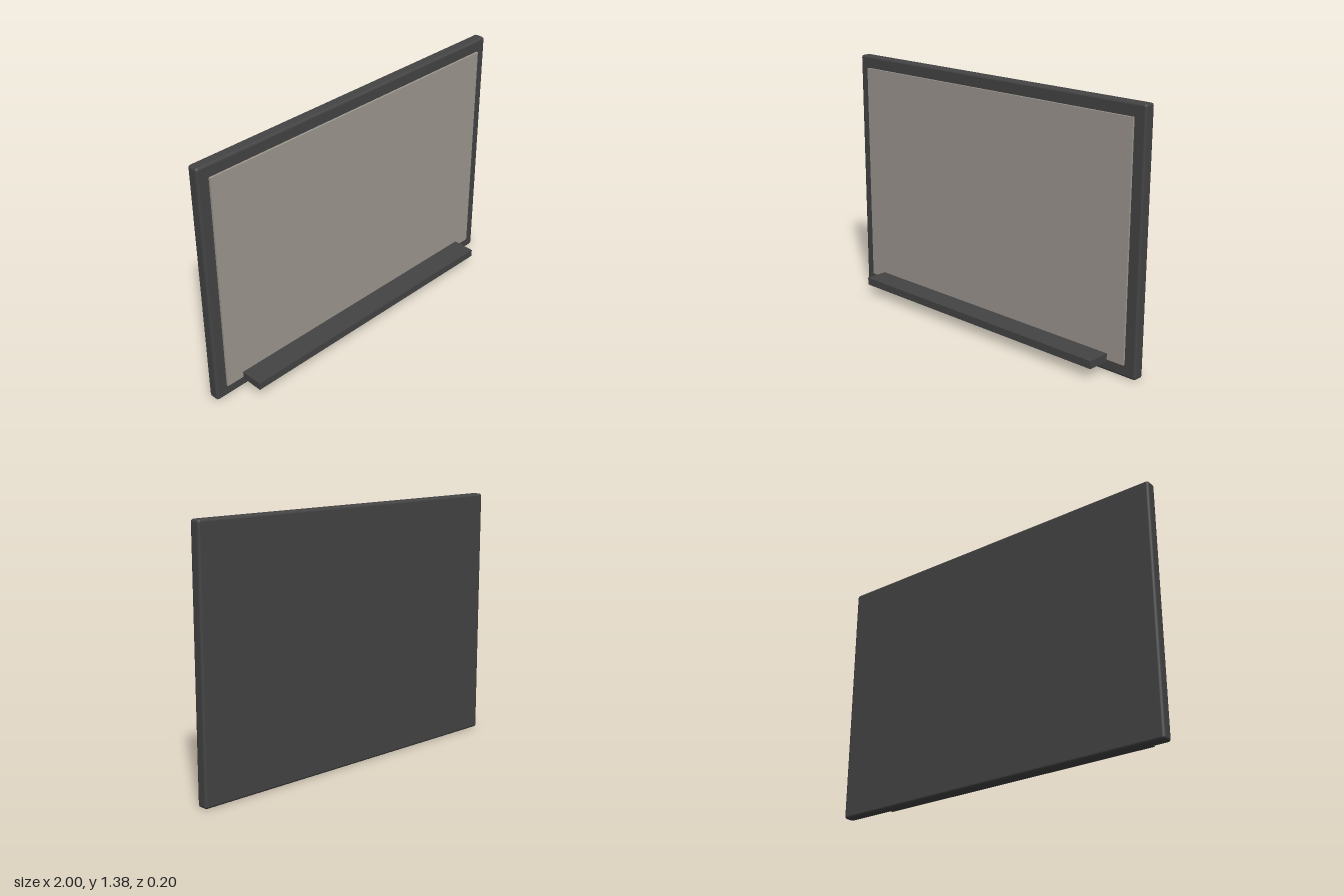
import * as THREE from 'three';
import { RoundedBoxGeometry } from 'three/addons/geometries/RoundedBoxGeometry.js';

export function createModel() {
  const group = new THREE.Group();
  const frameGrey = new THREE.MeshStandardMaterial({ name: 'dark grey frame', color: 0x444444 });
  const boardGrey = new THREE.MeshStandardMaterial({ name: 'warm grey board', color: 0x9e9890 });

  const add = (name, geometry, material, x, y, z) => {
    const mesh = new THREE.Mesh(geometry, material);
    mesh.name = name;
    mesh.position.set(x, y, z);
    group.add(mesh);
  };

  // Solid backing with softly rounded edges
  add('frame', new RoundedBoxGeometry(2, 1.38, 0.064, 2, 0.014), frameGrey, 0, 0.69, -0.07);

  // Writing surface standing slightly proud of the frame
  add('board', new THREE.BoxGeometry(1.87, 1.245, 0.022), boardGrey, 0, 0.69, -0.038);

  // Ledge along the lower edge, running back to the frame
  add('tray', new THREE.BoxGeometry(1.665, 0.042, 0.142), frameGrey, 0, 0.08, 0.031);

  return group;
}
